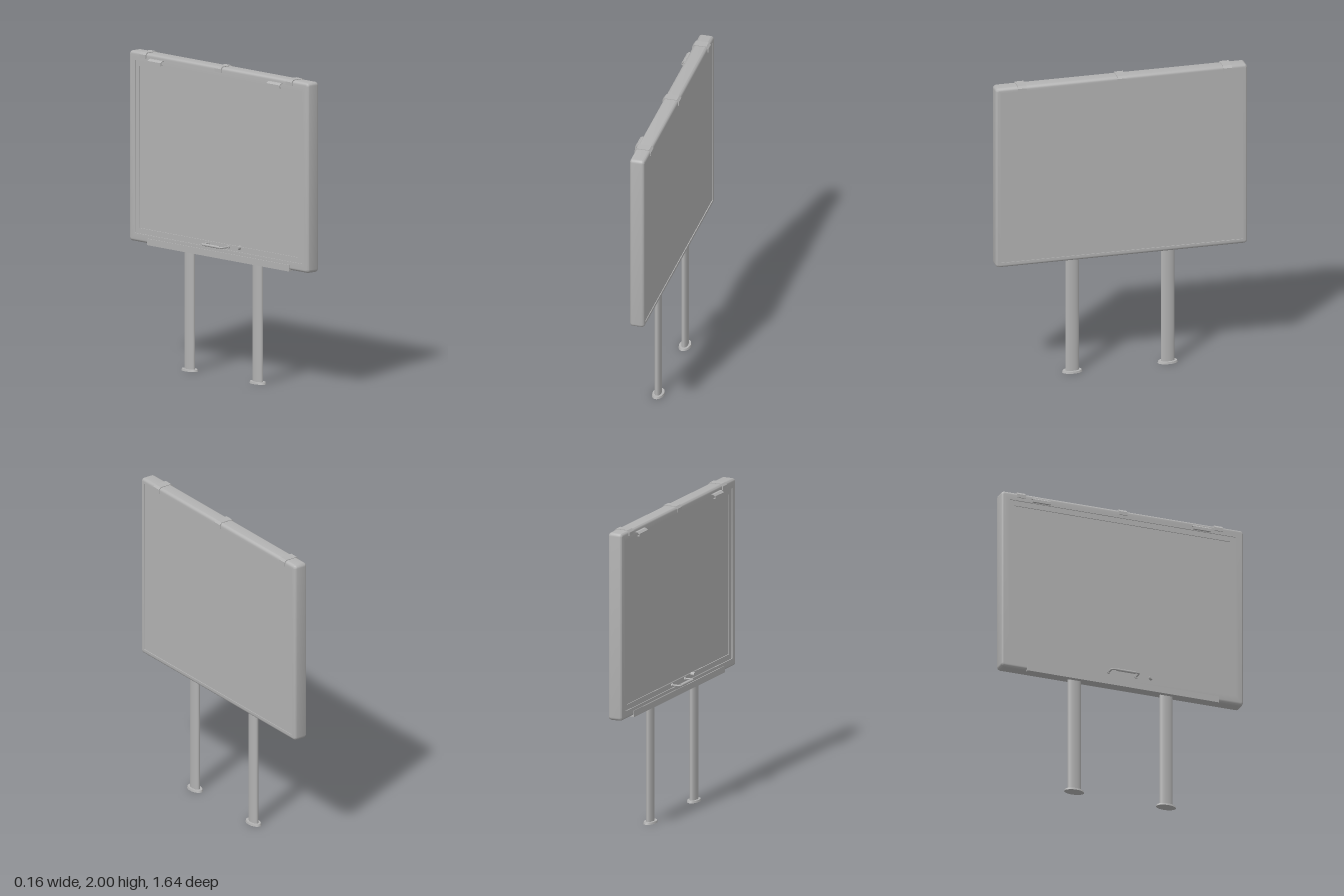
import * as THREE from 'three';
import { toCreasedNormals } from 'three/addons/utils/BufferGeometryUtils.js';

const grey = new THREE.MeshStandardMaterial({ color: 0xb2b2b2 });

function add(parent, name, geometry, x = 0, y = 0, z = 0) {
  const mesh = new THREE.Mesh(geometry, grey);
  mesh.name = name;
  mesh.position.set(x, y, z);
  parent.add(mesh);
  return mesh;
}

// Rounded rectangle in the z-y plane, pulled in by an inset
function ring(x, inset, halfZ, halfY, corner) {
  const r = Math.max(corner - inset, 0.001), pts = [], n = 5;
  for (let q = 0; q < 4; q++) {
    const sz = q === 0 || q === 3 ? 1 : -1, sy = q < 2 ? 1 : -1;
    for (let i = 0; i <= n; i++) {
      const a = (q + i / n) * Math.PI / 2;
      pts.push([x, sy * (halfY - inset - r) + r * Math.sin(a), sz * (halfZ - inset - r) + r * Math.cos(a)]);
    }
  }
  return pts;
}

// Case: rings lofted along x, with a stepped recess in each face
function caseGeometry(halfZ, halfY) {
  const x0 = -0.022, x1 = 0.075, r = 0.02, steps = 5;
  const profile = [[-0.01, 0.09], [-0.016, 0.09], [-0.016, 0.055], [x0, 0.055]];
  for (let i = 0; i <= steps; i++) {
    const a = i / steps * Math.PI / 2;
    profile.push([x0 + r - r * Math.cos(a), r - r * Math.sin(a)]);
  }
  for (let i = 0; i <= steps; i++) {
    const a = i / steps * Math.PI / 2;
    profile.push([x1 - r + r * Math.sin(a), r - r * Math.cos(a)]);
  }
  profile.push([x1, 0.033], [0.07, 0.033]);
  const rings = profile.map(([x, inset]) => ring(x, inset, halfZ, halfY, 0.022));
  const pos = [], tri = (a, b, c) => pos.push(...a, ...b, ...c);
  const count = rings[0].length, last = rings.length - 1;
  for (let j = 0; j < count; j++) {
    const k = (j + 1) % count;
    for (let i = 0; i < last; i++) {
      tri(rings[i][j], rings[i + 1][j], rings[i][k]);
      tri(rings[i + 1][j], rings[i + 1][k], rings[i][k]);
    }
    tri([profile[0][0], 0, 0], rings[0][j], rings[0][k]);
    tri([profile[last][0], 0, 0], rings[last][k], rings[last][j]);
  }
  const g = new THREE.BufferGeometry();
  g.setAttribute('position', new THREE.Float32BufferAttribute(pos, 3));
  return toCreasedNormals(g, 0.6);
}

// Side outline in x-y, extruded along z and centred
function bracket(points, width) {
  const shape = new THREE.Shape(points.map(([x, y]) => new THREE.Vector2(x, y)));
  const g = new THREE.ExtrudeGeometry(shape, { depth: width, bevelEnabled: false });
  return g.translate(0, 0, -width / 2);
}

export function createModel() {
  const group = new THREE.Group();
  group.name = 'noticeBoard';

  add(group, 'displayCase', caseGeometry(0.822, 0.61), 0, 1.386, 0);

  // Oval posts with flared feet
  for (const side of [1, -1]) {
    const post = new THREE.Group();
    post.name = 'post';
    post.position.set(0.025, 0, side * 0.312);
    group.add(post);
    add(post, 'postTube', new THREE.CylinderGeometry(1, 1, 0.775, 40), 0, 0.3975, 0).scale.set(0.021, 1, 0.044);
    add(post, 'foot', new THREE.CylinderGeometry(0.93, 1, 0.013, 40), 0, 0.0065, 0).scale.set(0.039, 1, 0.066);
  }

  // Hinge straps wrapped over the top edge
  const strap = [[-0.028, 1.962], [-0.028, 1.985], [-0.016, 2], [0.066, 2], [0.08, 1.986], [0.08, 1.96],
    [0.073, 1.96], [0.073, 1.98], [0.06, 1.992], [-0.01, 1.992], [-0.02, 1.98], [-0.02, 1.962]];
  for (const z of [-0.69, 0, 0.65]) add(group, 'hingeStrap', bracket(strap, 0.058), 0, 0, z);

  // Bent catches near the top of the door
  const lip = [[-0.02, 1.968], [-0.037, 1.968], [-0.05, 1.957], [-0.05, 1.938], [-0.036, 1.938],
    [-0.036, 1.943], [-0.045, 1.943], [-0.045, 1.954], [-0.035, 1.963], [-0.02, 1.963]];
  for (const z of [-0.56, 0.53]) add(group, 'topCatch', bracket(lip, 0.12), 0, 0, z);

  // Angled strip along the bottom of the door
  const strip = [[-0.02, 0.81], [-0.027, 0.81], [-0.027, 0.768], [0.002, 0.768], [0.002, 0.777], [-0.02, 0.777]];
  add(group, 'bottomStrip', bracket(strip, 1.3));

  // Pull handle
  const path = new THREE.CurvePath();
  const V = (x, z) => new THREE.Vector3(x, 0.852, z);
  path.add(new THREE.LineCurve3(V(-0.015, -0.096), V(-0.065, -0.096)));
  path.add(new THREE.QuadraticBezierCurve3(V(-0.065, -0.096), V(-0.079, -0.096), V(-0.079, -0.08)));
  path.add(new THREE.LineCurve3(V(-0.079, -0.08), V(-0.079, 0.075)));
  path.add(new THREE.QuadraticBezierCurve3(V(-0.079, 0.075), V(-0.079, 0.091), V(-0.065, 0.091)));
  path.add(new THREE.LineCurve3(V(-0.065, 0.091), V(-0.015, 0.091)));
  add(group, 'handle', new THREE.TubeGeometry(path, 60, 0.006, 10));
  add(group, 'handleGrip', new THREE.CylinderGeometry(0.0085, 0.0085, 0.13, 14), -0.0765, 0.852, -0.0025).rotation.x = Math.PI / 2;
  for (const z of [-0.096, 0.091]) {
    add(group, 'handleMount', new THREE.CylinderGeometry(0.012, 0.012, 0.008, 16), -0.024, 0.852, z).rotation.z = Math.PI / 2;
  }

  // Lock barrel
  add(group, 'lock', new THREE.CylinderGeometry(0.013, 0.013, 0.025, 24), -0.0275, 0.86, 0.19).rotation.z = Math.PI / 2;

  return group;
}
